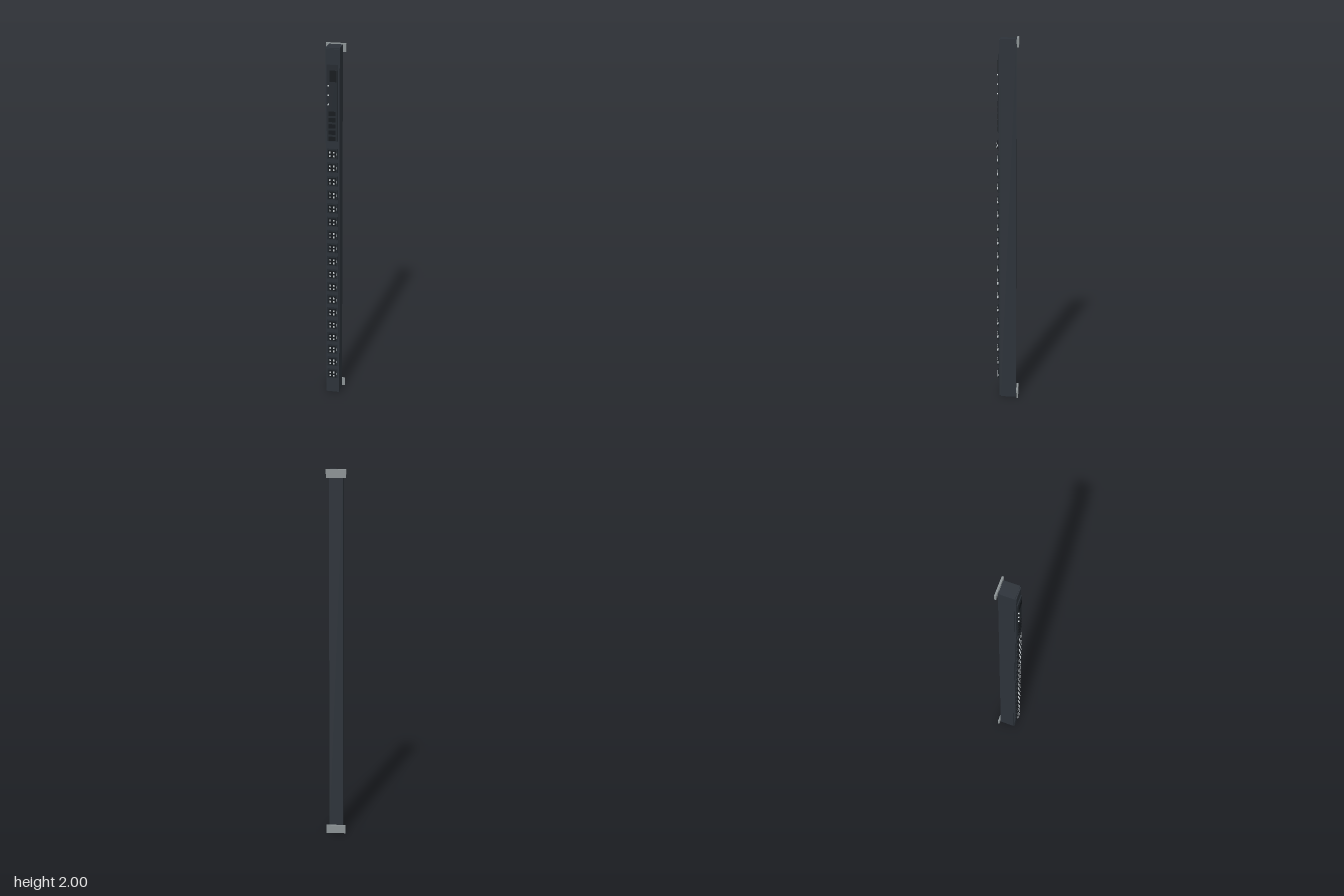
import * as THREE from 'three';

const mat = (name, color) => new THREE.MeshStandardMaterial({ name, color });

export function createModel() {
  const root = new THREE.Group();
  root.name = 'rackPowerStrip';
  const shell = mat('charcoal shell', 0x2c3239);
  const panel = mat('dark panel', 0x242a30);
  const black = mat('black insert', 0x15191d);
  const steel = mat('bracket grey', 0x8b9294);
  const pale = mat('pale contact', 0xc4cacd);

  // Box given by centre x, y, its back and front z, and its width and height
  function box(name, material, x, y, z0, z1, w, h, parent = root) {
    const m = new THREE.Mesh(new THREE.BoxGeometry(w, h, z1 - z0), material);
    m.name = name;
    m.position.set(x, y, (z0 + z1) / 2);
    parent.add(m);
    return m;
  }

  // Long housing and its stepped front cover
  box('housing', shell, 0, 1, -0.047, 0.037, 0.074, 1.99);
  box('frontCover', shell, 0, 1, 0.037, 0.043, 0.068, 1.98);

  // Mounting plates at both ends, with a small standoff behind the housing
  for (const y of [0.025, 1.977]) {
    box('mountingPlate', steel, 0, y, -0.06, -0.05, 0.106, 0.045);
    box('plateStandoff', steel, 0, y, -0.05, -0.047, 0.03, 0.02);
  }

  // Control panel with display, three lamps and a row of switches
  const control = new THREE.Group();
  control.name = 'controlPanel';
  root.add(control);
  box('controlPlate', panel, 0, 1.705, 0.043, 0.049, 0.058, 0.41, control);
  box('display', black, 0.005, 1.85, 0.049, 0.051, 0.036, 0.06, control);
  for (const y of [1.8, 1.75, 1.7]) {
    const lamp = new THREE.Mesh(new THREE.CylinderGeometry(0.004, 0.004, 0.006, 12), pale);
    lamp.name = 'statusLamp';
    lamp.rotation.x = Math.PI / 2;
    lamp.position.set(-0.02, y, 0.052);
    control.add(lamp);
  }
  for (let i = 0; i < 5; i++) {
    box('switch', black, 0, 1.515 + i * 0.034, 0.049, 0.053, 0.036, 0.022, control);
  }

  // Column of outlets: frame, raised face, four contacts and a side lamp
  for (let i = 0; i < 18; i++) {
    const outlet = new THREE.Group();
    outlet.name = 'outlet';
    outlet.position.y = 0.127 + i * 0.0767;
    root.add(outlet);
    box('outletFrame', panel, 0, 0, 0.043, 0.049, 0.058, 0.056, outlet);
    box('outletFace', black, 0, 0, 0.049, 0.054, 0.042, 0.04, outlet);
    for (const x of [-0.011, 0.009]) {
      for (const y of [-0.01, 0.01]) {
        box('contact', pale, x, y, 0.054, 0.057, 0.007, 0.009, outlet);
      }
    }
    box('outletLamp', pale, 0.025, 0, 0.049, 0.054, 0.003, 0.012, outlet);
  }
  return root;
}
